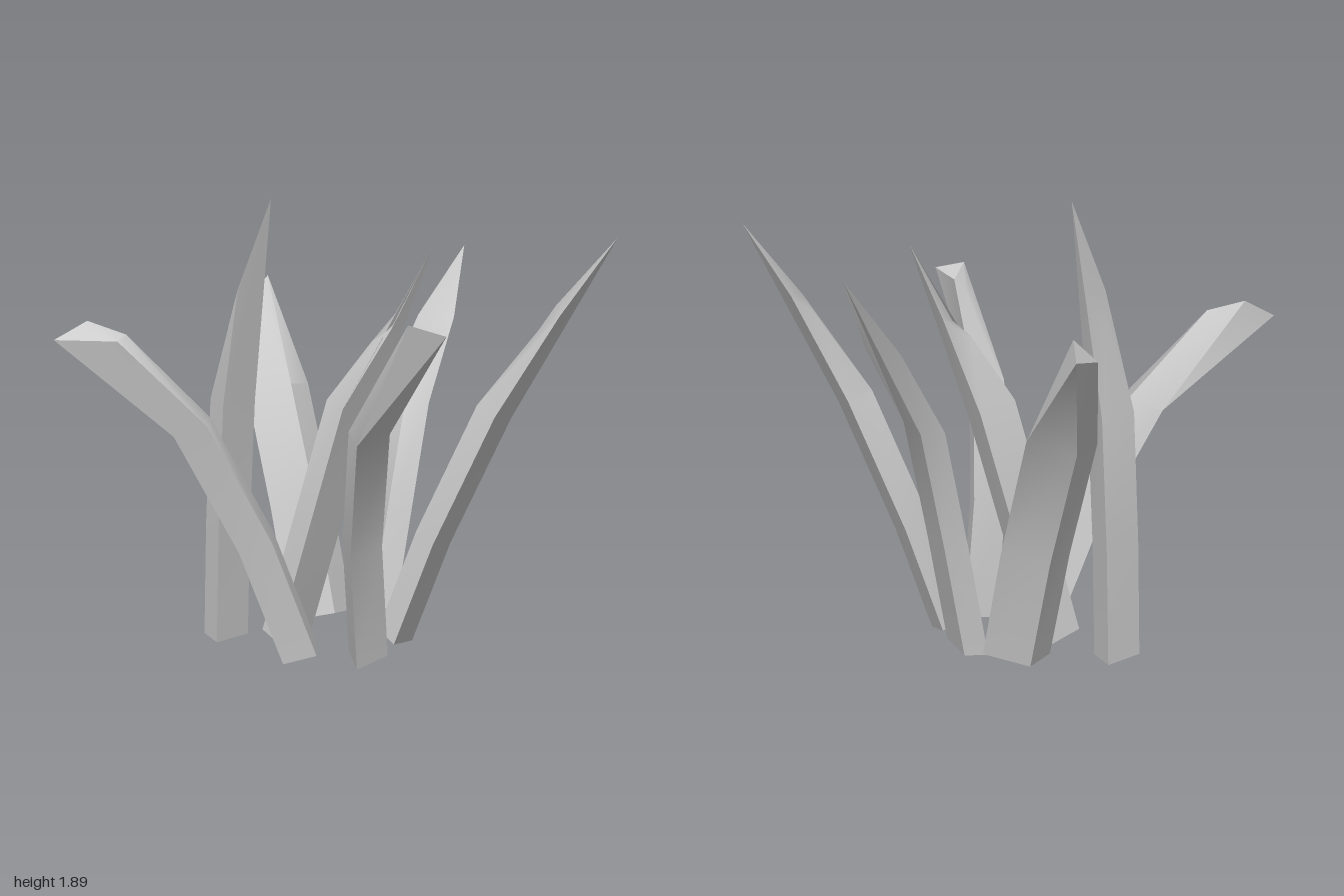
import * as THREE from 'three';
import { toCreasedNormals } from 'three/addons/utils/BufferGeometryUtils.js';

const material = new THREE.MeshStandardMaterial({ color: 0xcccccc });

// One blade: a four-sided section swept through three centres, ending in a slanted cut.
// w and t are the two sides of the section as [x, z];
// cut holds the four end corners, the sharp tip first.
function blade(name, w, t, path, cut) {
  const [p, q] = path;
  const slopeX = (q[0] - p[0]) / (q[1] - p[1]);
  const slopeZ = (q[2] - p[2]) / (q[1] - p[1]);
  const positions = [];

  // Sections square to the foot of the blade
  for (const [x, y, z] of path) {
    for (const [a, b] of [[0.5, 0.5], [-0.5, 0.5], [-0.5, -0.5], [0.5, -0.5]]) {
      const dx = a * w[0] + b * t[0];
      const dz = a * w[1] + b * t[1];
      positions.push(x + dx, y - dx * slopeX - dz * slopeZ, z + dz);
    }
  }
  positions.push(...cut.flat());

  // Sides, then the base and the slanted end
  const index = [];
  const quad = (i, j, k, l) => index.push(i, j, k, i, k, l);
  const rings = path.length;
  for (let r = 0; r < rings; r++) {
    for (let j = 0; j < 4; j++) {
      const n = (j + 1) % 4;
      quad(r * 4 + n, r * 4 + j, r * 4 + 4 + j, r * 4 + 4 + n);
    }
  }
  const e = rings * 4;
  quad(0, 1, 2, 3);
  quad(e + 3, e + 2, e + 1, e);

  const geometry = new THREE.BufferGeometry();
  geometry.setAttribute('position', new THREE.Float32BufferAttribute(positions, 3));
  geometry.setIndex(index);
  const mesh = new THREE.Mesh(toCreasedNormals(geometry, 0.7), material);
  mesh.name = name;
  return mesh;
}

export function createModel() {
  const group = new THREE.Group();
  group.name = 'grassTuft';
  group.add(
    blade('tallBlade', [0.06, -0.18], [0.11, 0.1],
      [[-0.625, 0.02, 0.085], [-0.61, 0.5, 0.085], [-0.58, 1.05, 0.085]],
      [[-0.4, 1.9, 0.07], [-0.495, 1.53, 0.2], [-0.55, 1.4, 0.1], [-0.51, 1.52, -0.02]]),
    blade('leftBlade', [0.02, -0.16], [0.11, 0.1],
      [[0.125, 0.07, -0.01], [0.28, 0.5, -0.05], [0.525, 1.04, -0.1]],
      [[1, 1.76, -0.22], [0.81, 1.45, -0.06], [0.7, 1.38, -0.13], [0.735, 1.47, -0.255]]),
    blade('middleBlade', [0.06, -0.19], [0.11, 0.09],
      [[-0.335, 0.05, 0.1], [-0.21, 0.52, 0.06], [-0.08, 1.04, -0.01]],
      [[0.25, 1.71, -0.11], [0.12, 1.38, 0.02], [0.03, 1.32, 0.02], [0.065, 1.42, -0.16]]),
    blade('backBlade', [-0.16, -0.14], [0.1, -0.02],
      [[-0.07, 0.05, -0.2], [-0.02, 0.53, -0.28], [0.02, 1.02, -0.395]],
      [[0.145, 1.66, -0.79], [0.17, 1.36, -0.59], [0.055, 1.26, -0.53], [-0.01, 1.36, -0.625]]),
    blade('frontLeftBlade', [0.08, -0.14], [0.085, 0.12],
      [[0.088, 0.04, 0.2], [0.11, 0.53, 0.32], [0.22, 1.03, 0.515]],
      [[0.64, 1.46, 0.8], [0.49, 1.495, 0.8], [0.4, 1.38, 0.66], [0.45, 1.44, 0.635]]),
    blade('frontRightBlade', [0.08, 0.18], [-0.145, 0.01],
      [[-0.16, 0.055, 0.34], [-0.315, 0.53, 0.425], [-0.535, 1.01, 0.55]],
      [[-1, 1.37, 0.82], [-0.905, 1.44, 0.72], [-0.745, 1.39, 0.695], [-0.745, 1.37, 0.765]]),
    blade('backRightBlade', [-0.19, 0.055], [0.02, -0.14],
      [[-0.305, 0.06, -0.208], [-0.425, 0.53, -0.28], [-0.595, 1.03, -0.4]],
      [[-0.85, 1.44, -0.82], [-0.78, 1.5, -0.7], [-0.755, 1.38, -0.56], [-0.825, 1.4, -0.58]]),
  );
  return group;
}
